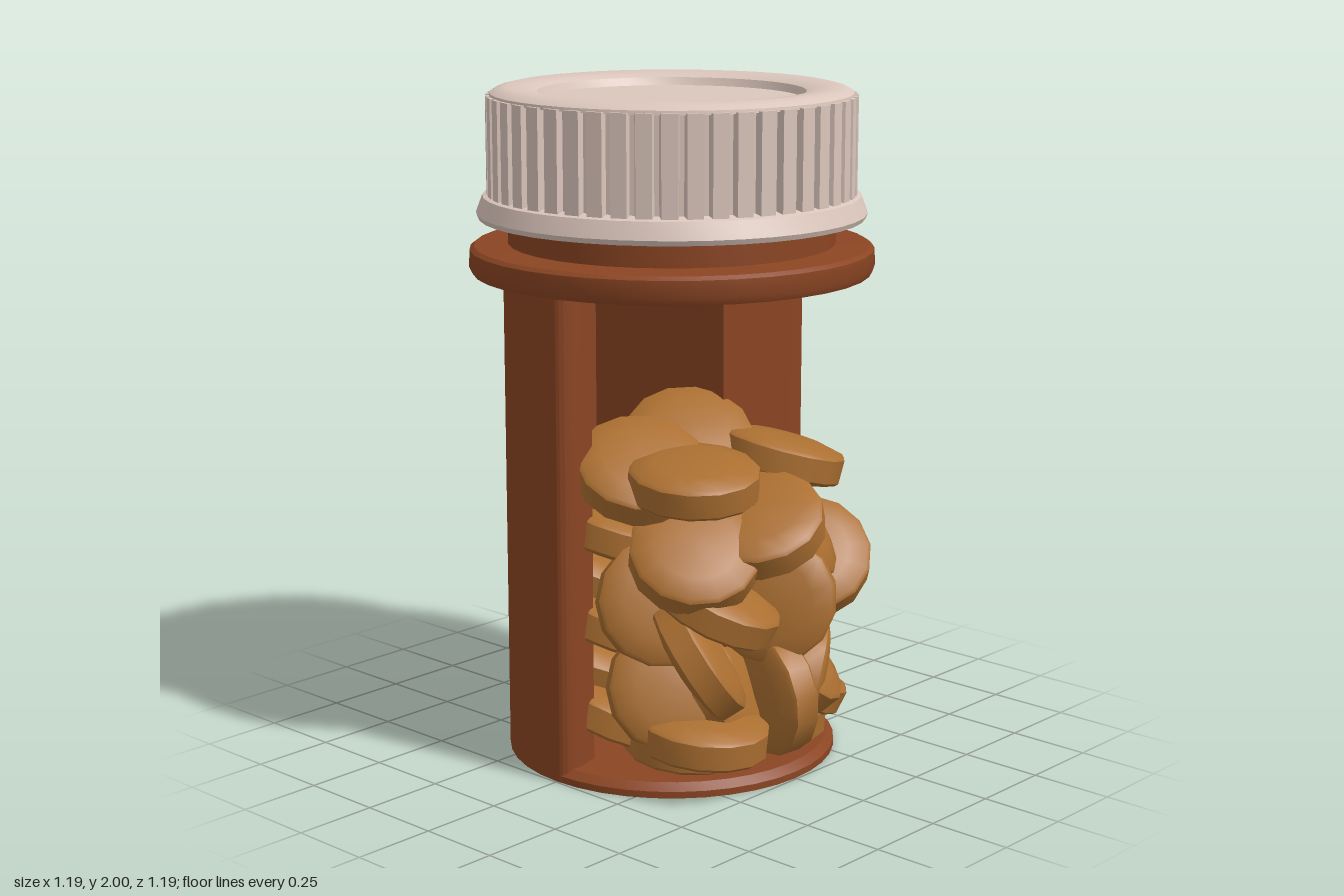
import * as THREE from 'three';
import { toCreasedNormals } from 'three/addons/utils/BufferGeometryUtils.js';

export function createModel() {
  const model = new THREE.Group();
  const amber = new THREE.MeshStandardMaterial({ name: 'amber plastic', color: 0x8b4523 });
  const white = new THREE.MeshStandardMaterial({ name: 'cap plastic', color: 0xdbc6bc });
  const tan = new THREE.MeshStandardMaterial({ name: 'pill tan', color: 0xab6f31 });

  const add = (name, geometry, material, parent = model) => {
    const mesh = new THREE.Mesh(geometry, material);
    mesh.name = name;
    parent.add(mesh);
    return mesh;
  };
  // profile runs bottom to top on the outside
  const lathe = (points, sides) => toCreasedNormals(
    new THREE.LatheGeometry(points.map(([r, y]) => new THREE.Vector2(r, y)), sides), 0.6);
  const extrudeUp = (shape, y, height, crease) => {
    const g = new THREE.ExtrudeGeometry(shape, { depth: height, bevelEnabled: false, curveSegments: 48 });
    g.rotateX(-Math.PI / 2);
    g.translate(0, y, 0);
    return toCreasedNormals(g, crease);
  };

  // Bottle: base disc, wall cut away at the front, shoulder flange and neck
  add('bottleBase', lathe([[0, 0], [0.495, 0], [0.495, 0.02], [0.47, 0.04], [0, 0.04]], 40), amber);
  // wall plan (y is -z): thin at the back, with thick rounded ends beside the opening
  const outer = 0.495, inner = 0.475;
  const wall = new THREE.Shape();
  wall.absarc(0, 0, outer, -0.12, Math.PI + 0.02, false);
  wall.quadraticCurveTo(-0.485, -0.04, -0.44, -0.04);
  wall.lineTo(-0.36, -0.02);
  wall.absarc(0, 0, inner, Math.PI - Math.acos(0.36 / inner), Math.acos(0.14 / inner), true);
  wall.lineTo(0.14, -0.08);
  wall.lineTo(0.39, -0.13);
  wall.quadraticCurveTo(0.475, -0.14, outer * Math.cos(0.12), -outer * Math.sin(0.12));
  add('bottleWall', extrudeUp(wall, 0.01, 1.47, 0.8), amber);
  add('shoulderFlange', lathe([[0.46, 1.46], [0.585, 1.46], [0.595, 1.48], [0.593, 1.53],
    [0.58, 1.54], [0.48, 1.545], [0.48, 1.625], [0.56, 1.63], [0.46, 1.635], [0.46, 1.46]], 36), amber);

  // Cap: flared rim, ribbed grip, rounded top with a shallow recess
  const cap = new THREE.Group();
  cap.name = 'cap';
  model.add(cap);
  add('capRim', lathe([[0, 1.632], [0.562, 1.632], [0.565, 1.62], [0.572, 1.635],
    [0.553, 1.685], [0.52, 1.695]], 40), white, cap);
  const grip = new THREE.Shape();
  const ribs = 48;
  for (let i = 0; i < ribs; i++) {
    [[0, 0.518], [0.2, 0.518], [0.3, 0.54], [0.95, 0.54]].forEach(([t, r], k) => {
      const angle = ((i + t) / ribs) * Math.PI * 2;
      const x = Math.cos(angle) * r, y = Math.sin(angle) * r;
      if (i + k === 0) grip.moveTo(x, y); else grip.lineTo(x, y);
    });
  }
  grip.closePath();
  // ring only, so the recess stays open above
  const bore = new THREE.Path();
  bore.absarc(0, 0, 0.48, 0, Math.PI * 2, true);
  grip.holes.push(bore);
  add('capGrip', extrudeUp(grip, 1.68, 0.295, 0.2), white, cap);
  add('capTop', lathe([[0.53, 1.97], [0.528, 1.982], [0.51, 1.993], [0.48, 2], [0.41, 1.993],
    [0.39, 1.985], [0.38, 1.962], [0, 1.962]], 40), white, cap);

  // Pills: thick discs with softly domed faces, [x, y, z, normal x, y, z]
  const pillShape = lathe([[0, -0.068], [0.12, -0.06], [0.18, -0.045], [0.19, -0.035],
    [0.19, 0.035], [0.18, 0.045], [0.12, 0.06], [0, 0.068]], 14);
  const placements = [
    // top of the heap
    [-0.22, 0.91, 0.29, -0.1, 1, 0.12], [0.21, 0.9, 0.25, 0.25, 1, 0.12],
    [-0.26, 0.92, 0.12, -0.3, 0.8, 0.4], [0.01, 0.95, 0.06, -0.35, 0.8, 0.4],
    [0.2, 0.87, 0.08, 0.3, 0.9, 0.2], [-0.06, 0.77, 0.4, -0.45, 0.85, 0.2],
    // middle
    [-0.26, 0.71, 0.33, -0.45, 0.75, 0.5], [0.15, 0.72, 0.34, 0.45, 0.55, 0.7],
    [0.26, 0.7, 0.22, 0.5, 0.5, 0.5], [0.28, 0.58, 0.3, -0.5, 0.62, 0.5],
    [0.01, 0.53, 0.39, -0.75, 0.15, 0.55], [-0.19, 0.55, 0.35, 0.25, 0.9, 0.35],
    [-0.28, 0.55, 0.22, -0.5, 0.3, 0.7], [0.15, 0.5, 0.3, 0.5, 0.3, 0.8],
    [0.27, 0.42, 0.23, 0.6, 0.2, 0.7], [-0.25, 0.4, 0.34, 0.6, 0.55, 0.6],
    // bottom
    [-0.28, 0.3, 0.26, -0.5, 0.3, 0.7], [-0.23, 0.16, 0.34, 0.05, 1, 0.08],
    [0.02, 0.24, 0.38, 0.96, 0.08, 0.25], [0.17, 0.3, 0.33, 0.4, 0.65, 0.6],
    [0.19, 0.22, 0.35, 0.6, -0.25, 0.7], [0.26, 0.2, 0.24, 0.35, 0.85, 0.25],
    [-0.1, 0.28, 0.3, 0.3, 0.4, 0.8], [0.18, 0.1, 0.22, 0, 1, 0.1],
    [-0.15, 0.1, 0.2, 0, 1, 0.1]
  ];
  // inner layers resting against the back wall
  for (let layer = 0; layer < 6; layer++) {
    for (let i = 0; i < 4; i++) {
      const t = i * 1.57 + layer * 0.75;
      placements.push([Math.cos(t) * 0.22, 0.14 + layer * 0.14, Math.sin(t) * 0.22 - 0.02,
        Math.sin(t * 2.3) * 0.4, 1, Math.cos(t * 1.7) * 0.4]);
    }
  }
  const pills = new THREE.Group();
  pills.name = 'pills';
  model.add(pills);
  const up = new THREE.Vector3(0, 1, 0);
  placements.forEach(([x, y, z, nx, ny, nz], i) => {
    const pill = add('pill' + (i + 1), pillShape, tan, pills);
    pill.position.set(x, y, z);
    pill.quaternion.setFromUnitVectors(up, new THREE.Vector3(nx, ny, nz).normalize());
  });
  return model;
}
